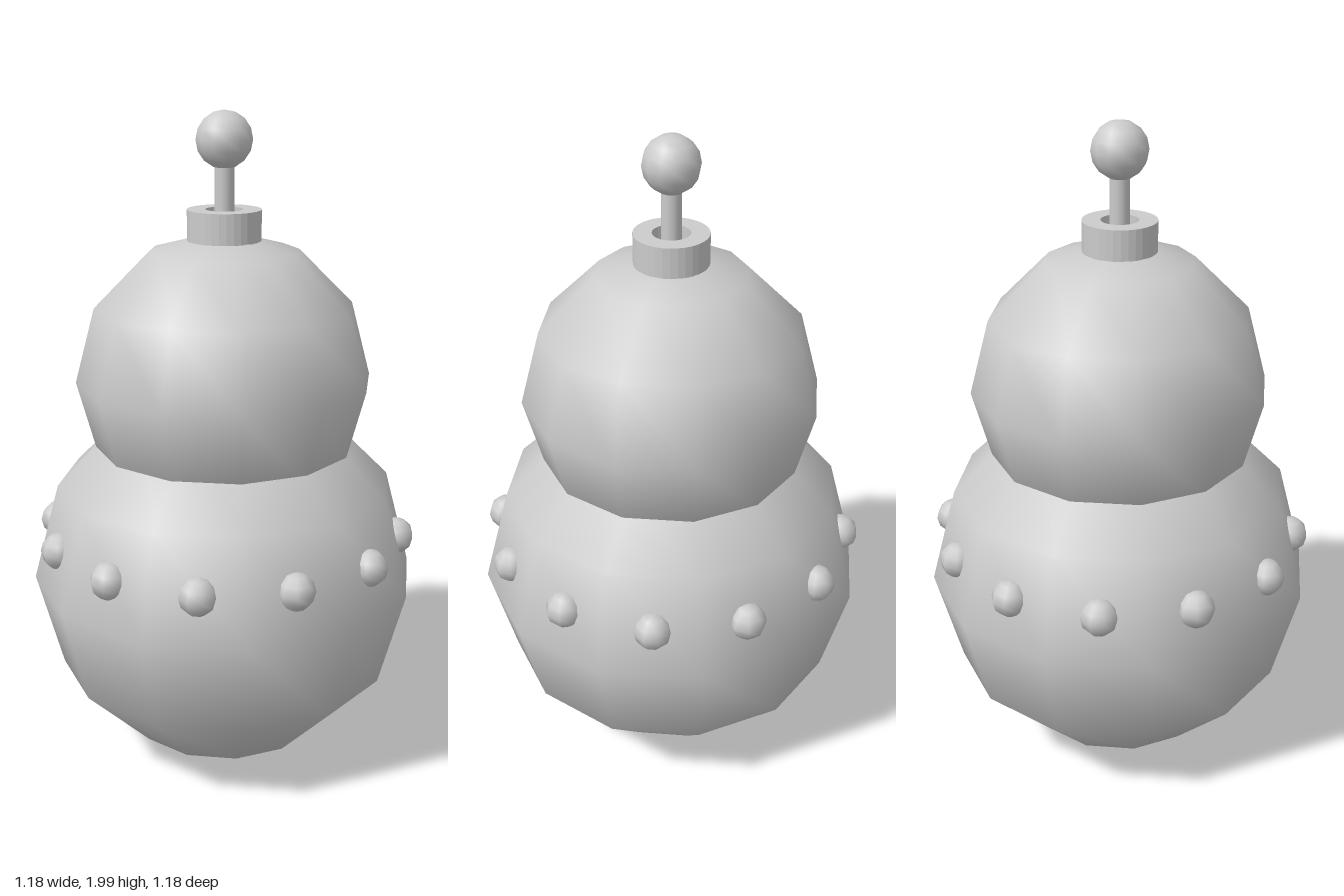
import * as THREE from 'three';

export function createModel() {
  const model = new THREE.Group();
  const material = new THREE.MeshStandardMaterial({ color: 0xcccccc });

  const add = (name, geometry, x, y, z, parent = model) => {
    const mesh = new THREE.Mesh(geometry, material);
    mesh.name = name;
    mesh.position.set(x, y, z);
    parent.add(mesh);
    return mesh;
  };

  // Two stacked low-poly balls
  add('body', new THREE.SphereGeometry(0.59, 12, 6), 0, 0.597, 0);
  add('head', new THREE.SphereGeometry(0.445, 12, 6), 0, 1.215, 0);

  // Ring of studs around the body
  const studs = new THREE.Group();
  studs.name = 'studs';
  model.add(studs);
  const studGeometry = new THREE.SphereGeometry(0.056, 8, 6);
  for (let i = 0; i < 12; i++) {
    const a = ((i + 0.5) / 12) * Math.PI * 2;
    const stud = add('stud', studGeometry, 0.53 * Math.sin(a), 0.735, 0.53 * Math.cos(a), studs);
    stud.rotation.y = a + Math.PI / 8;
  }

  // Hollow collar on the crown, with flat faces and sharp rims
  const ring = new THREE.Shape().absarc(0, 0, 0.109, 0, Math.PI * 2);
  ring.holes.push(new THREE.Path().absarc(0, 0, 0.055, 0, Math.PI * 2, true));
  const collar = new THREE.ExtrudeGeometry(ring, { depth: 0.09, bevelEnabled: false, curveSegments: 16 });
  collar.rotateX(-Math.PI / 2);
  add('collar', collar, 0, 1.63, 0);

  // Antenna rod and knob
  add('antennaRod', new THREE.CylinderGeometry(0.029, 0.029, 0.24, 12), 0, 1.75, 0);
  add('antennaKnob', new THREE.SphereGeometry(0.083, 12, 8), 0, 1.917, 0);

  return model;
}
